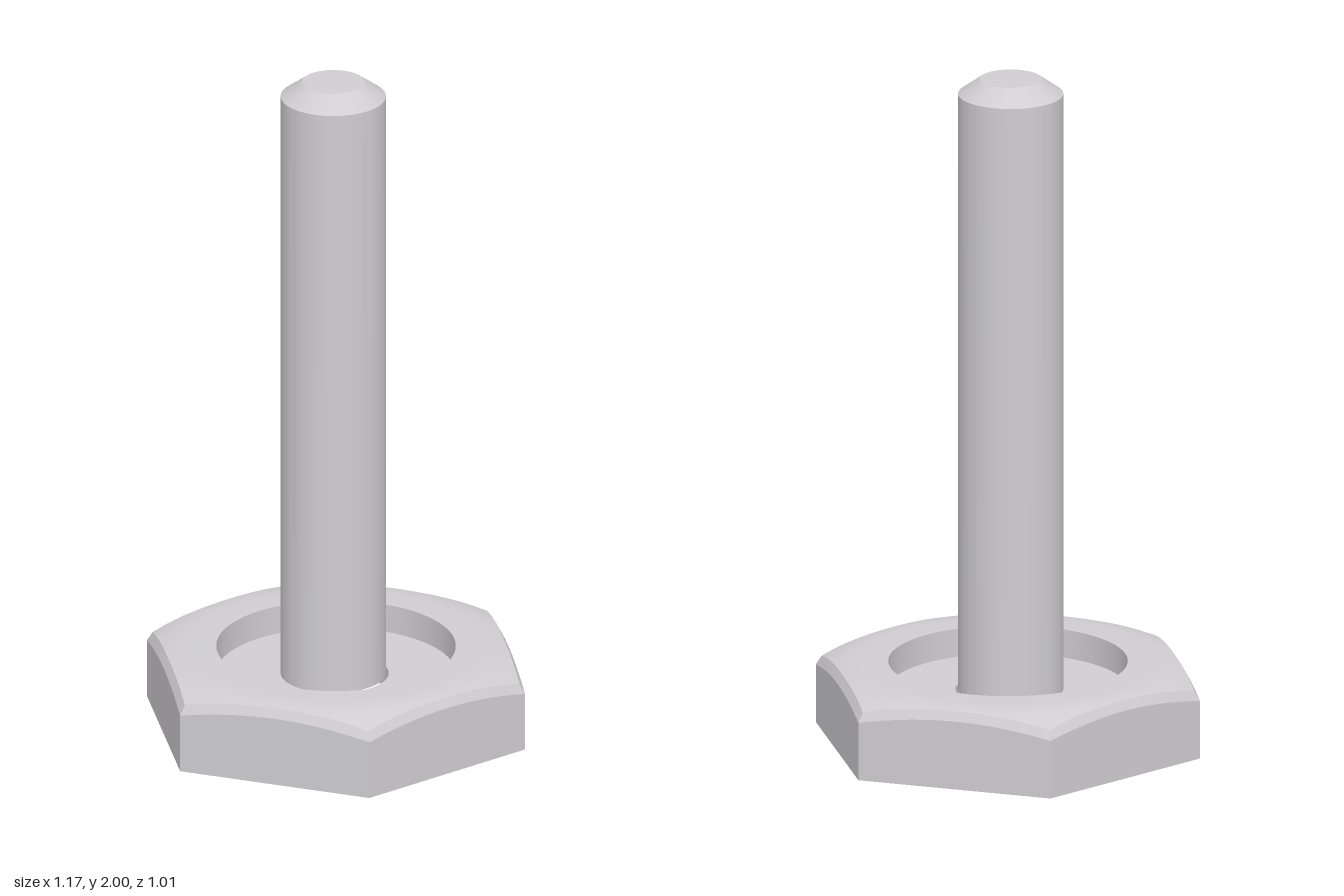
import * as THREE from 'three';
import { toCreasedNormals } from 'three/addons/utils/BufferGeometryUtils.js';

const SEGMENTS = 96;

// Distance from the axis to a hexagon of given apothem, corners on the x axis
function hexRadius(apothem, angle) {
  const step = Math.PI / 3;
  return apothem / Math.cos((angle % step) - step / 2);
}

// Surface swept round the y axis; each row gives [radius, height] for an angle
function sweep(rows, crease = 0.3) {
  const positions = [], index = [], n = SEGMENTS;
  for (const row of rows) {
    for (let i = 0; i < n; i++) {
      const a = (i / n) * Math.PI * 2;
      const [r, y] = row(a);
      positions.push(r * Math.cos(a), y, -r * Math.sin(a));
    }
  }
  for (let j = 0; j < rows.length - 1; j++) {
    for (let i = 0; i < n; i++) {
      const k = (i + 1) % n;
      const a = j * n + i, b = j * n + k, c = a + n, d = b + n;
      index.push(a, b, d, a, d, c);
    }
  }
  const geometry = new THREE.BufferGeometry();
  geometry.setAttribute('position', new THREE.Float32BufferAttribute(positions, 3));
  geometry.setIndex(index);
  return toCreasedNormals(geometry, crease);
}

const ring = (r, y) => () => [r, y];

export function createModel() {
  const group = new THREE.Group();
  const steel = new THREE.MeshStandardMaterial({ color: 0xcfcdd0, side: THREE.DoubleSide });
  steel.name = 'light grey steel';

  const add = (name, geometry) => {
    const mesh = new THREE.Mesh(geometry, steel);
    mesh.name = name;
    group.add(mesh);
    return mesh;
  };

  // Hollow hexagonal shell: open underside, walls, bevel, domed top
  const domeHeight = (r) => 0.24 - 1.8 * Math.max(0, r - 0.42) ** 2;
  const wallTop = (a) => {
    const r = hexRadius(0.505, a);
    return [r, 0.205 - (r - 0.505) * 0.4];
  };
  const domeRow = (t) => (a) => {
    const r = THREE.MathUtils.lerp(hexRadius(0.49, a), 0.42, t);
    return [r, domeHeight(r)];
  };
  add('hexShell', sweep([
    ring(0.325, 0),
    (a) => [hexRadius(0.505, a), 0],
    wallTop,
    domeRow(0), domeRow(0.25), domeRow(0.5), domeRow(0.75), domeRow(1),
    ring(0.346, 0.24),
  ]));

  // Round recess with a thick floor, pierced below the rod
  add('recessWall', sweep([ring(0.346, 0.24), ring(0.346, 0.155), ring(0.152, 0.155)]));
  add('floorUnderside', sweep([
    ring(0.152, 0.155), ring(0.152, 0.09), ring(0.346, 0.09), ring(0.346, 0.155),
  ]));

  // Rod with a bevelled tip, set very slightly off centre
  const rod = add('rod', sweep([
    ring(0, 0.155), ring(0.152, 0.155), ring(0.152, 1.955), ring(0.09, 2), ring(0, 2),
  ]));
  rod.position.set(-0.006, 0, -0.005);

  return group;
}
